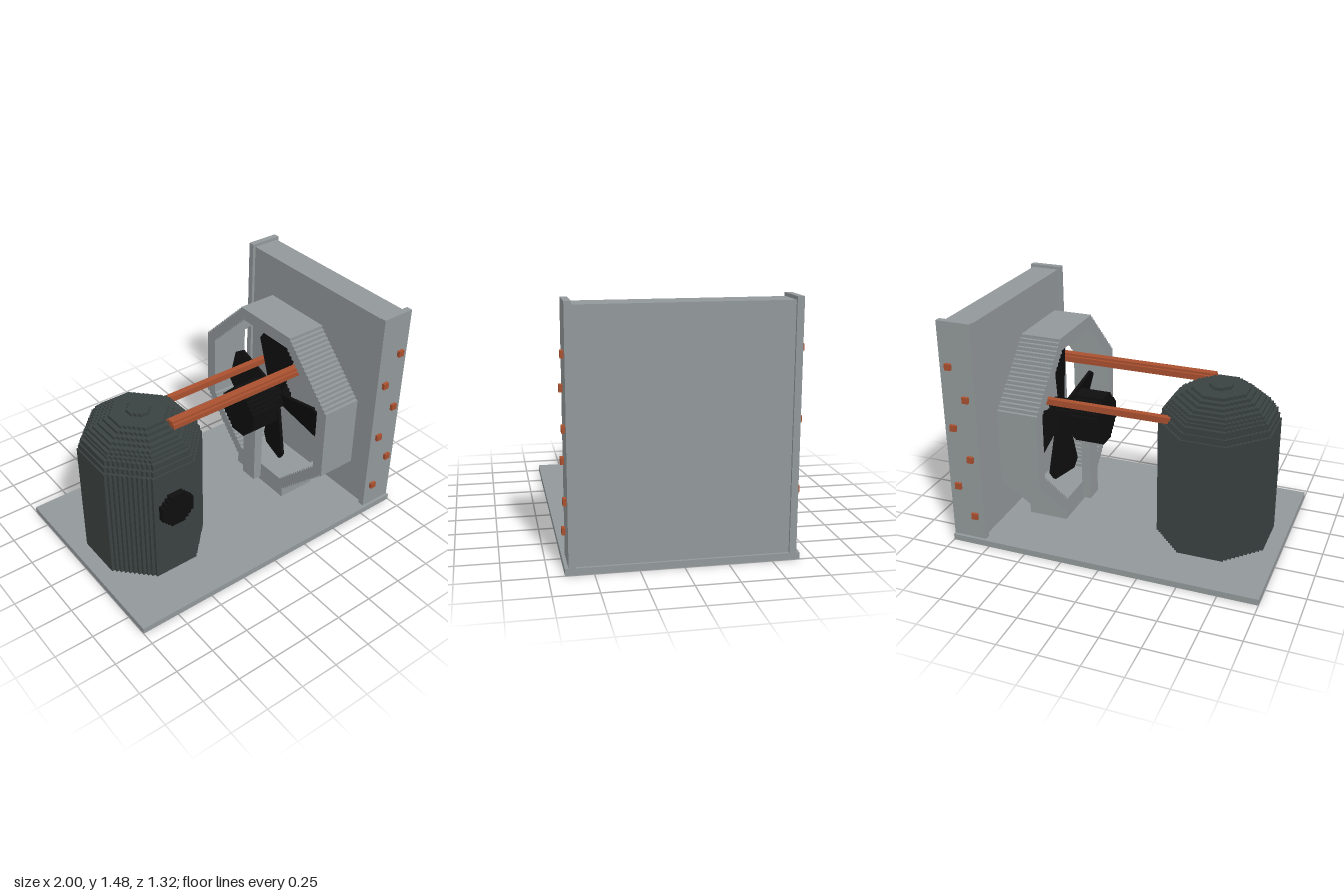
import * as THREE from 'three';

const STEP = 0.02;

// Octagon outline whose diagonal sides are small stairs
function octagon(r) {
  const n = Math.max(1, Math.round((r * 0.586) / STEP));
  const f = r - n * STEP;
  let quarter = [];
  for (let i = 0; i <= n; i++) {
    quarter.push([r - i * STEP, f + i * STEP]);
    if (i < n) quarter.push([r - (i + 1) * STEP, f + i * STEP]);
  }
  const points = [];
  for (let q = 0; q < 4; q++) {
    quarter.forEach(([x, y]) => points.push(new THREE.Vector2(x, y)));
    quarter = quarter.map(([x, y]) => [-y, x]);
  }
  return points;
}

// Octagonal prism along z, starting at z = 0, with an optional hole
function prism(r, depth, hole = 0) {
  const shape = new THREE.Shape(octagon(r));
  if (hole) shape.holes.push(new THREE.Path(octagon(hole)));
  return new THREE.ExtrudeGeometry(shape, { depth, bevelEnabled: false });
}

export function createModel() {
  const root = new THREE.Group();
  const material = (name, color) => {
    const m = new THREE.MeshStandardMaterial({ color });
    m.name = name;
    return m;
  };
  const steel = material('grey steel', 0x92989a);
  const shell = material('dark shell', 0x3a4241);
  const black = material('black', 0x0e0e0e);
  const copper = material('copper', 0xa9502f);

  function add(name, geometry, mat, parent = root) {
    const mesh = new THREE.Mesh(geometry, mat);
    mesh.name = name;
    parent.add(mesh);
    return mesh;
  }
  // Box given by its limits on each axis
  function box(name, mat, [x0, x1], [y0, y1], [z0, z1], parent = root) {
    const g = new THREE.BoxGeometry(x1 - x0, y1 - y0, z1 - z0);
    g.translate((x0 + x1) / 2, (y0 + y1) / 2, (z0 + z1) / 2);
    return add(name, g, mat, parent);
  }
  function group(name) {
    const g = new THREE.Group();
    g.name = name;
    root.add(g);
    return g;
  }

  box('basePlate', steel, [-1, 1], [0, 0.04], [-0.66, 0.66]);

  // Heat exchanger with end plates and tube ends
  const coil = group('heatExchanger');
  box('coilCore', steel, [0.8, 0.985], [0.04, 1.46], [-0.6, 0.6], coil);
  for (const s of [-1, 1]) {
    const span = (a, b) => (s > 0 ? [a, b] : [-b, -a]);
    box('endPlate', steel, [0.78, 1], [0.04, 1.48], span(0.6, 0.64), coil);
    for (let i = 0; i < 6; i++) {
      const x = i % 2 ? 0.94 : 0.84;
      const y = 0.2 * (i + 1);
      box('tubeEnd', copper, [x - 0.02, x + 0.02], [y - 0.02, y + 0.02], span(0.64, 0.66), coil);
    }
  }

  // Fan shroud: hollow octagonal ring on a foot
  const shroud = group('fanShroud');
  add('shroudRing', prism(0.6, 0.26, 0.52).rotateY(Math.PI / 2).translate(0.4, 0.7, 0), steel, shroud);
  box('shroudFoot', steel, [0.4, 0.66], [0.04, 0.1], [-0.24, 0.24], shroud);

  // Motor, its strut and the four-bladed fan
  const fan = group('fan');
  add('motor', prism(0.16, 0.2).rotateY(Math.PI / 2).translate(0.2, 0.7, 0), black, fan);
  add('hub', prism(0.08, 0.18).rotateY(Math.PI / 2).translate(0.4, 0.7, 0), black, fan);
  box('motorStrut', steel, [0.3, 0.36], [0.12, 0.55], [-0.06, 0.06], fan);
  const outline = [[-0.05, 0.05], [0.05, 0.05], [0.14, 0.4], [0.1, 0.46], [-0.1, 0.46], [-0.14, 0.4]];
  for (let i = 0; i < 4; i++) {
    const shape = new THREE.Shape(outline.map(([x, y]) => new THREE.Vector2(x, y)));
    const g = new THREE.ExtrudeGeometry(shape, { depth: 0.02, bevelEnabled: false });
    g.translate(0, 0, -0.01).rotateY(Math.PI / 2 + 0.25).rotateX((i * Math.PI) / 2).translate(0.52, 0.7, 0);
    add('fanBlade', g, black, fan);
  }

  // Compressor: straight shell with a stepped dome of [top height, radius]
  const compressor = group('compressor');
  const layers = [
    [0.82, 0.35], [0.86, 0.34], [0.9, 0.33], [0.92, 0.31], [0.94, 0.3], [0.96, 0.28],
    [0.98, 0.26], [1.0, 0.23], [1.02, 0.2], [1.04, 0.17], [1.06, 0.07],
  ];
  let bottom = 0.04;
  for (const [top, r] of layers) {
    const g = prism(r, top - bottom).rotateX(-Math.PI / 2).scale(1, 1, 1.03).translate(-0.55, bottom, 0);
    add(bottom < 0.1 ? 'compressorShell' : 'domeLayer', g, shell, compressor);
    bottom = top;
  }
  add('terminalCover', prism(0.11, 0.05).translate(-0.555, 0.55, 0.35), black, compressor);

  // Pipes from compressor to heat exchanger
  const pipes = group('pipes');
  box('suctionPipeSides', copper, [-0.46, 0.8], [0.995, 1.025], [0.156, 0.236], pipes);
  box('suctionPipeCore', copper, [-0.46, 0.8], [0.98, 1.04], [0.172, 0.22], pipes);
  box('dischargePipe', copper, [-0.3, 0.8], [0.84, 0.88], [-0.22, -0.18], pipes);

  return root;
}
